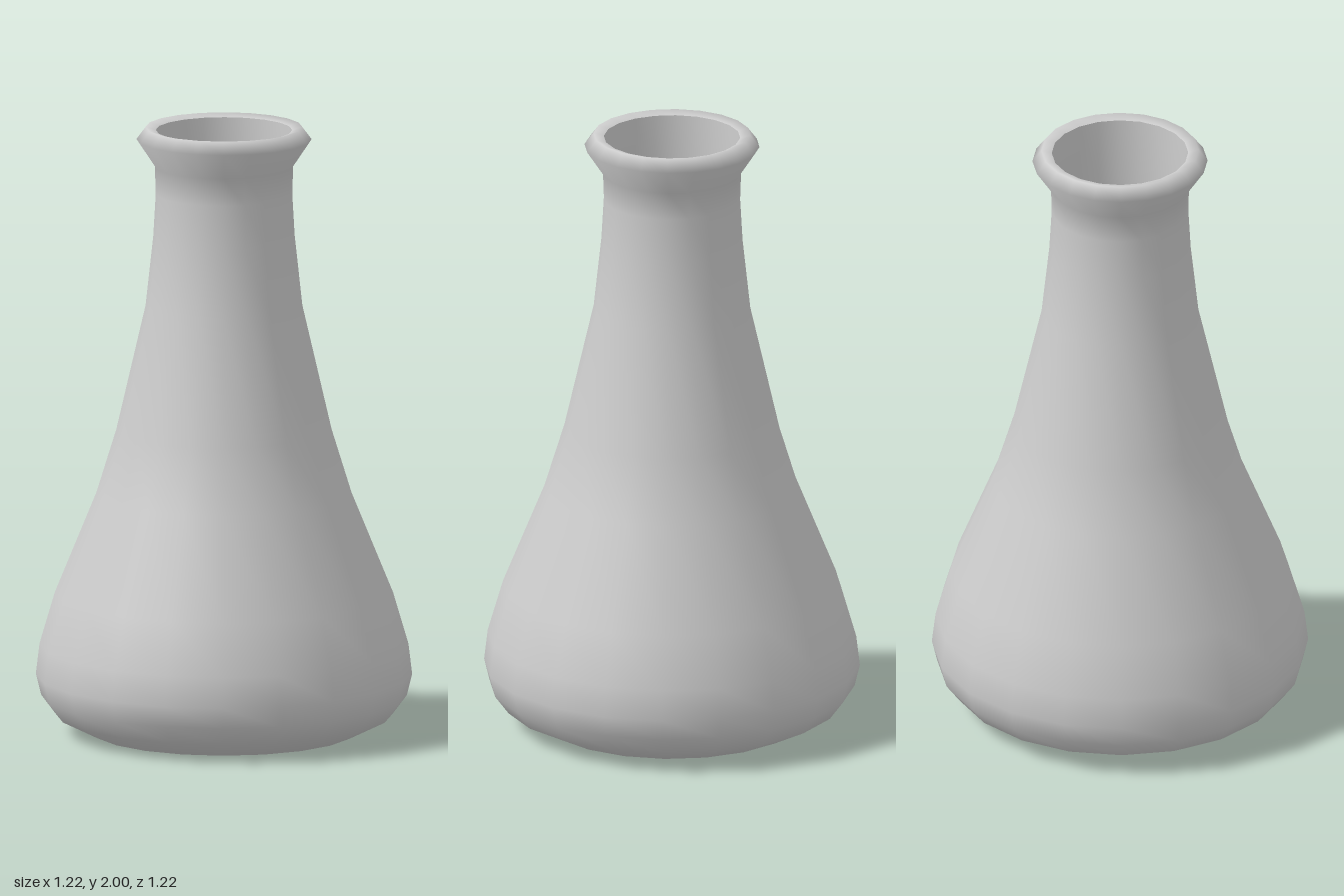
import * as THREE from 'three';

const SIDES = 20;

// Smooth surface of revolution from [radius, height] pairs
function turned(name, profile, material) {
  const points = profile.map(([r, y]) => new THREE.Vector2(r, y));
  const mesh = new THREE.Mesh(new THREE.LatheGeometry(points, SIDES), material);
  mesh.name = name;
  return mesh;
}

export function createModel() {
  const group = new THREE.Group();
  group.name = 'flask';
  const material = new THREE.MeshStandardMaterial({ color: 0xcccccc });

  // Flat base, rounded shoulder, tapering body and neck
  const body = [
    [0.43, 0], [0.55, 0.06], [0.595, 0.12], [0.612, 0.19], [0.6, 0.29],
    [0.55, 0.46], [0.415, 0.79], [0.35, 1.0], [0.255, 1.41],
    [0.23, 1.64], [0.222, 1.78], [0.225, 1.87],
  ];

  // Outside, ending in the flared lip
  group.add(turned('outerWall', [
    [0, 0], ...body, [0.285, 1.96], [0.255, 2], [0.222, 1.99],
  ], material));

  // Inside, running from the mouth down to the floor
  const wall = 0.01;
  const inner = body.slice(1, -1).reverse().map(([r, y]) => [r - wall, y]);
  group.add(turned('innerWall', [
    [0.222, 1.99], ...inner, [0.43, 0.02], [0, 0.02],
  ], material));

  return group;
}
